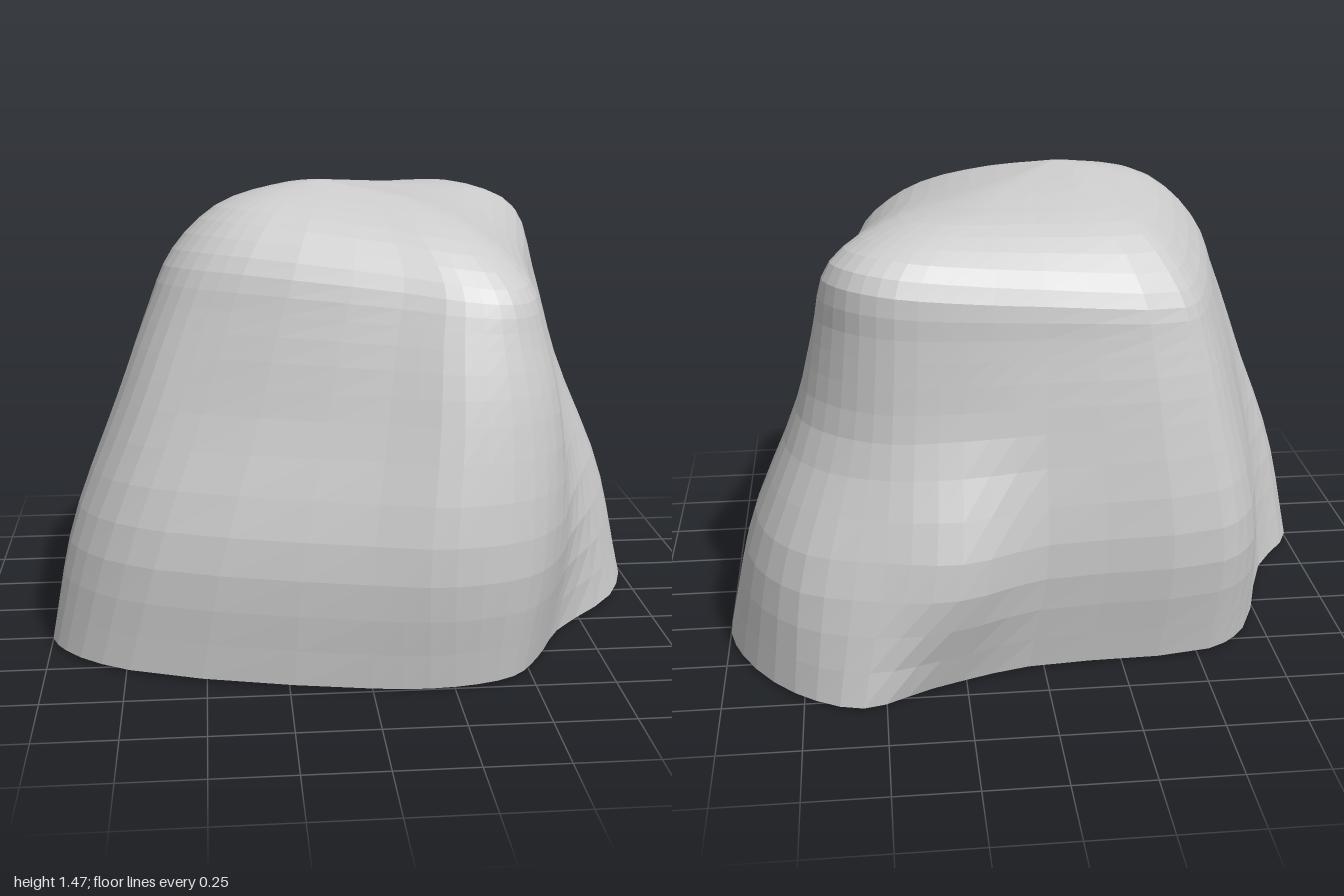
import * as THREE from 'three';

const AROUND = 54; // facets round the rock
const ROWS = 24; // facets from ground to peak

// Outlines as x, z pairs, starting at the left-front spur and running past the front
const GROUND = [
  -1, .23, -.95, .38, -.74, .55, 0, .75, .25, .76, .44, .70, .54, .57, .65, .36, .9, .07,
  1, -.24, .95, -.46, .78, -.7, .57, -.81, .36, -.72, .05, -.62, -.54, -.57, -.68, -.45, -.84, -.02];
const BELLY = [
  -.92, .25, -.85, .42, -.64, .58, 0, .77, .24, .81, .48, .74, .6, .59, .68, .38, .8, .1,
  .91, -.22, .88, -.5, .74, -.69, .5, -.77, .27, -.8, 0, -.69, -.56, -.63, -.69, -.48, -.8, 0];
const WAIST = [
  -.77, .24, -.69, .41, -.5, .5, .05, .67, .27, .73, .48, .68, .59, .56, .62, .34, .67, .05,
  .75, -.25, .73, -.46, .62, -.6, .46, -.68, .25, -.68, 0, -.65, -.5, -.59, -.61, -.45, -.72, .02];
const SHOULDER = [
  -.58, .22, -.5, .34, -.35, .42, .11, .54, .28, .59, .42, .58, .5, .5, .53, .28, .56, 0,
  .61, -.27, .63, -.46, .56, -.6, .43, -.66, .22, -.64, 0, -.6, -.42, -.52, -.5, -.39, -.59, .06];

// Smooth closed ring through an outline; height is a rule of x and z
function ring(outline, height) {
  const points = [];
  for (let i = 0; i < outline.length; i += 2) {
    const x = outline[i], z = outline[i + 1];
    points.push(new THREE.Vector3(x, height(x, z), z));
  }
  const curve = new THREE.CatmullRomCurve3(points, true);
  return Array.from({ length: AROUND }, (_, i) => curve.getPoint(i / AROUND));
}

const mix = (a, b, t) => a.map((v, i) => v + (b[i] - v) * t);
const shrink = (outline, s) => outline.map((v) => v * s);

function rockGeometry() {
  const peak = new THREE.Vector3(-.11, 1.472, .1);
  // The top is warped: a ridge from left-front to right-back, falling to the other corners
  const rings = [
    ring(GROUND, () => .01),
    ring(BELLY, () => .4),
    ring(WAIST, () => .8),
    ring(mix(WAIST, SHOULDER, .55), (x, z) => 1.06 - .08 * x * z),
    ring(SHOULDER, (x, z) => 1.23 - .21 * x * z),
    ring(shrink(SHOULDER, .74), (x, z) => 1.368 - .04 * x - .23 * x * z),
    ring(shrink(SHOULDER, .38), (x, z) => 1.433 - .08 * x + .04 * z - .28 * x * z),
  ];

  // Run a curve up each column of the rings to the peak
  const positions = [];
  for (let i = 0; i < AROUND; i++) {
    const column = new THREE.CatmullRomCurve3([...rings.map((r) => r[i]), peak]);
    for (let j = 0; j <= ROWS; j++) positions.push(...column.getPoint(j / ROWS).toArray());
  }
  const bottom = positions.length / 3;
  positions.push(0, 0, 0);

  const index = [];
  const at = (i, j) => (i % AROUND) * (ROWS + 1) + j;
  for (let i = 0; i < AROUND; i++) {
    for (let j = 0; j < ROWS; j++) {
      const a = at(i, j), b = at(i + 1, j), c = at(i + 1, j + 1), d = at(i, j + 1);
      index.push(a, b, c);
      if (j < ROWS - 1) index.push(a, c, d);
    }
    index.push(bottom, at(i + 1, 0), at(i, 0)); // underside
  }

  const geometry = new THREE.BufferGeometry();
  geometry.setAttribute('position', new THREE.Float32BufferAttribute(positions, 3));
  geometry.setIndex(index);
  geometry.computeVertexNormals();
  return geometry;
}

export function createModel() {
  const group = new THREE.Group();
  group.name = 'boulder';
  const material = new THREE.MeshStandardMaterial({ color: 0xcccccc, flatShading: true });
  const rock = new THREE.Mesh(rockGeometry(), material);
  rock.name = 'rock';
  group.add(rock);
  return group;
}
